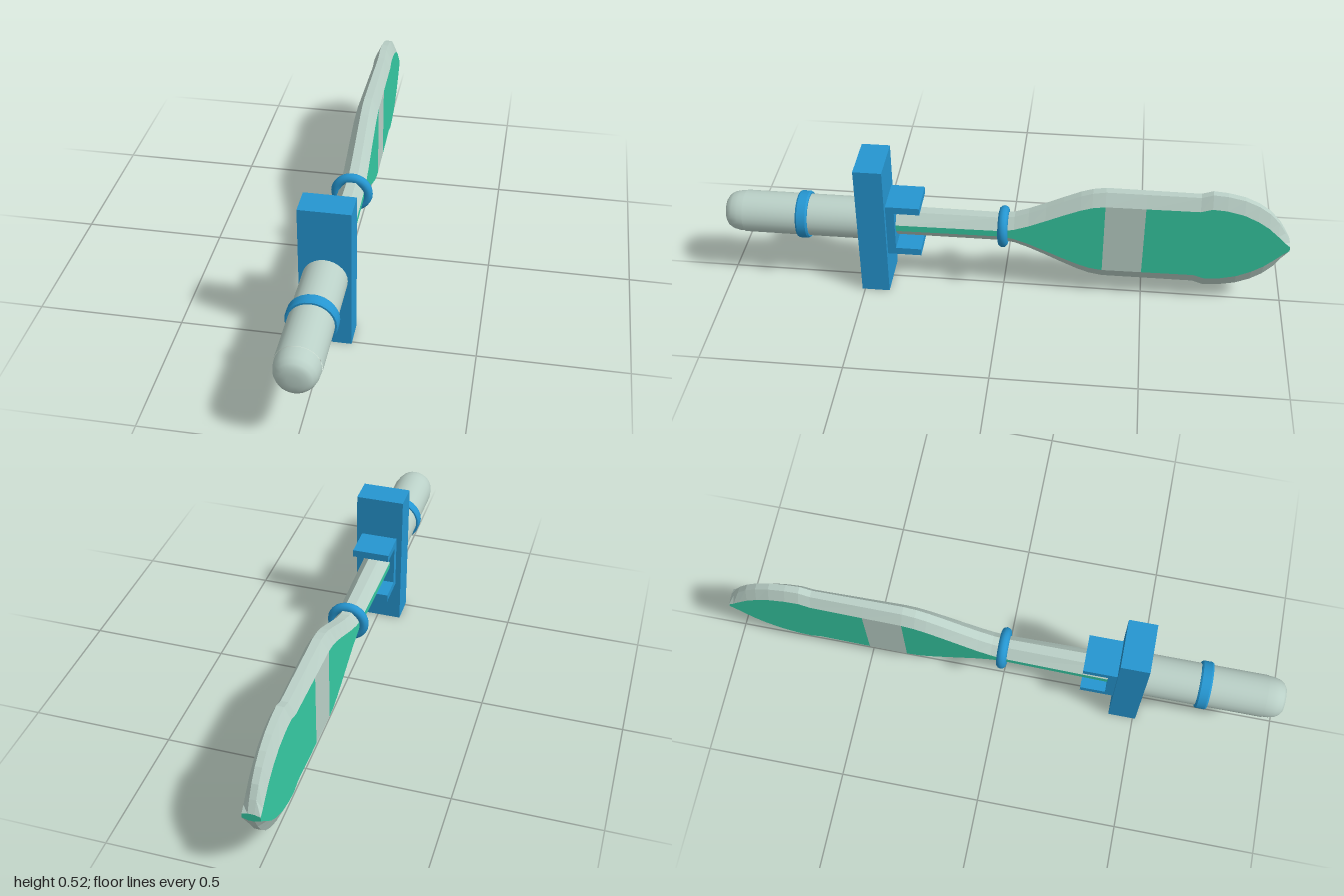
import * as THREE from 'three';

const AXIS = 0.261; // height of the long axis

export function createModel() {
  const blue = new THREE.MeshStandardMaterial({ color: 0x2596d1 });
  blue.name = 'blue';
  const grey = new THREE.MeshStandardMaterial({ color: 0xbad0c7 });
  grey.name = 'paleGrey';
  const green = new THREE.MeshStandardMaterial({ color: 0x35c9a2 });
  green.name = 'green';

  const model = new THREE.Group();
  model.name = 'sword';
  const add = (name, geometry, material, y = AXIS, z = 0) => {
    const mesh = new THREE.Mesh(geometry, material);
    mesh.name = name;
    mesh.position.set(0, y, z);
    model.add(mesh);
    return mesh;
  };
  // Lathe about the z axis, from [radius, z] pairs in rising z
  const turned = (points) =>
    new THREE.LatheGeometry(points.map(([r, z]) => new THREE.Vector2(r, z)), 28).rotateX(Math.PI / 2);

  // Handle and rounded pommel
  add('handle', turned([[0.075, 0.5], [0.075, 0.93]]), grey);
  add('pommel', turned([[0.073, 0.93], [0.072, 0.95], [0.067, 0.972], [0.057, 0.988], [0.043, 0.997], [0.02, 1], [0, 1]]), grey);
  // Collar on the handle, split at its chamfers to keep them crisp
  const collar = [[0.074, 0.694], [0.081, 0.694], [0.085, 0.7], [0.085, 0.73], [0.081, 0.736], [0.074, 0.736]];
  for (let i = 0; i < collar.length - 1; i++) add('handleCollar', turned([collar[i], collar[i + 1]]), blue);

  // Crossguard and the bracket behind it
  add('guard', new THREE.BoxGeometry(0.174, 0.52, 0.1), blue, 0.26, 0.46);
  add('bracketPlate', new THREE.BoxGeometry(0.134, 0.206, 0.03), blue, AXIS, 0.395);
  for (const side of [-1, 1]) {
    add('bracketProng', new THREE.BoxGeometry(0.134, 0.027, 0.12), blue, AXIS + side * 0.0895, 0.35);
  }

  // Ring around the shaft
  add('shaftRing', new THREE.TorusGeometry(0.057, 0.018, 12, 28), blue);

  // Blade stations: [z, half height, half height of the flat side]
  const stations = [
    [0.385, 0.05, 0.012], [0, 0.05, 0.012], [-0.04, 0.057, 0.021], [-0.09, 0.076, 0.039],
    [-0.15, 0.104, 0.066], [-0.21, 0.134, 0.094], [-0.27, 0.162, 0.12], [-0.31, 0.176, 0.133],
    [-0.355, 0.184, 0.14], [-0.495, 0.184, 0.14], [-0.68, 0.184, 0.14], [-0.72, 0.198, 0.153],
    [-0.77, 0.194, 0.149], [-0.83, 0.181, 0.134], [-0.88, 0.159, 0.11], [-0.92, 0.131, 0.083],
    [-0.955, 0.094, 0.05], [-0.98, 0.054, 0.025], [-1, 0.014, 0.008],
  ];
  const sections = stations.map(([z, h, g]) => {
    const w = 0.045 + 0.015 * z;
    const t = w * 0.36;
    return [[w, g], [t, h], [-t, h], [-w, g], [-w, -g], [-t, -h], [t, -h], [w, -g]].map(([x, y]) => [x, y, z]);
  });
  const faces = { grey: [], green: [] };
  for (let i = 0; i < sections.length - 1; i++) {
    const band = stations[i][0] === -0.355; // plain band across the flat sides
    for (let j = 0; j < 8; j++) {
      const k = (j + 1) % 8;
      const a = sections[i][j], b = sections[i][k], c = sections[i + 1][k], d = sections[i + 1][j];
      const flatSide = j === 3 || j === 7;
      faces[flatSide && !band ? 'green' : 'grey'].push(...a, ...d, ...c, ...a, ...c, ...b);
    }
  }
  // Blunt tip
  const tip = sections[sections.length - 1];
  for (let j = 1; j < 7; j++) faces.green.push(...tip[0], ...tip[j + 1], ...tip[j]);

  const surface = (values) => {
    const geometry = new THREE.BufferGeometry();
    geometry.setAttribute('position', new THREE.Float32BufferAttribute(values, 3));
    geometry.computeVertexNormals();
    return geometry;
  };
  add('bladeEdges', surface(faces.grey), grey);
  add('bladeSides', surface(faces.green), green);

  return model;
}
